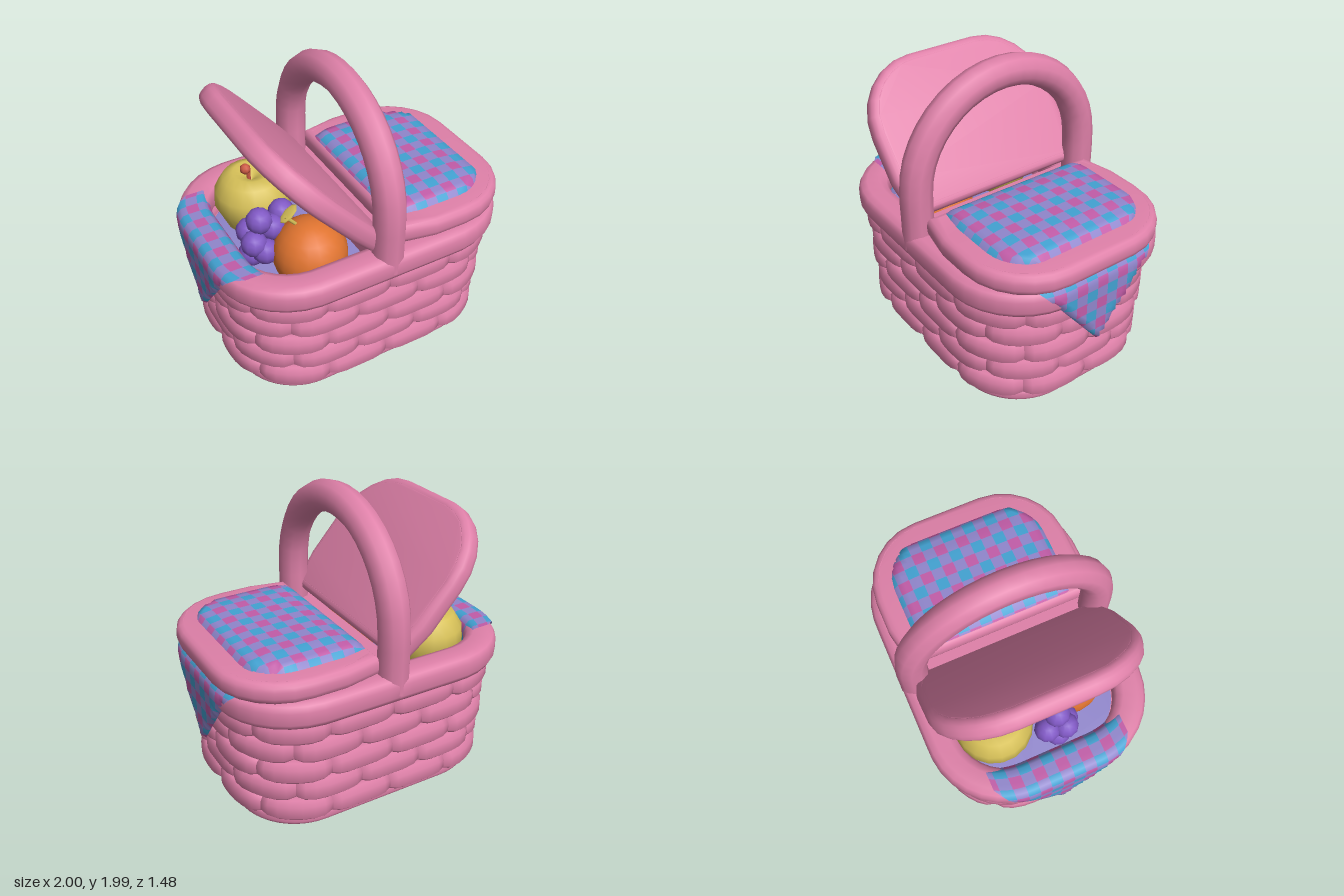
import * as THREE from 'three';
import { toCreasedNormals } from 'three/addons/utils/BufferGeometryUtils.js';

const mat = (name, color, side = THREE.FrontSide) => {
  const m = new THREE.MeshStandardMaterial({ color, side });
  m.name = name;
  return m;
};

export function createModel() {
  const model = new THREE.Group();
  model.name = 'picnicBasket';
  const pink = mat('wickerPink', 0xde80a8);
  const yellow = mat('appleYellow', 0xd6c058);
  const orange = mat('orangePeel', 0xe07430);
  const grape = mat('grapePurple', 0x8058c4);
  const red = mat('stemRed', 0xcc5a44);
  const cloth = [
    mat('clothBlue', 0x42a2d2, THREE.DoubleSide),
    mat('clothLilac', 0x9086cc, THREE.DoubleSide),
    mat('clothMagenta', 0xc25ca8, THREE.DoubleSide),
  ];

  const add = (name, geo, material, parent = model, x = 0, y = 0, z = 0) => {
    const m = new THREE.Mesh(geo, material);
    m.name = name;
    m.position.set(x, y, z);
    parent.add(m);
    return m;
  };

  // Rounded rectangle in plan (shape y becomes z), starting at the back middle
  const plan = (a, b, r) => {
    const s = new THREE.Shape();
    s.moveTo(0, -b);
    s.lineTo(a - r, -b);
    s.absarc(a - r, r - b, r, -Math.PI / 2, 0);
    s.lineTo(a, b - r);
    s.absarc(a - r, b - r, r, 0, Math.PI / 2);
    s.lineTo(r - a, b);
    s.absarc(r - a, b - r, r, Math.PI / 2, Math.PI);
    s.lineTo(-a, r - b);
    s.absarc(r - a, r - b, r, Math.PI, Math.PI * 1.5);
    s.lineTo(0, -b);
    return s;
  };

  // Horizontal slab with rounded edges
  const slab = (shape, y0, y1, bevel) => {
    const g = new THREE.ExtrudeGeometry(shape, {
      depth: y1 - y0 - 2 * bevel, bevelSize: bevel, bevelThickness: bevel,
      bevelOffset: -bevel, bevelSegments: 3, curveSegments: 6,
    });
    g.rotateX(Math.PI / 2);
    g.translate(0, y1 - bevel, 0);
    return toCreasedNormals(g, 0.7);
  };

  // Puffy rounded section swept along a plan outline; stations are [t, scale]
  const sweep = (path, stations, halfDepth, halfHeight, y, sides) => {
    const pos = [], idx = [], sq = (v) => Math.sign(v) * Math.abs(v) ** 0.65;
    stations.forEach(([t, k], i) => {
      const u = ((t % 1) + 1) % 1;
      const p = path.getPoint(u), d = path.getTangent(u);
      for (let j = 0; j < sides; j++) {
        const a = ((j + 0.5) / sides) * Math.PI * 2;
        const n = sq(Math.cos(a)) * halfDepth * k, h = sq(Math.sin(a)) * halfHeight * k;
        pos.push(p.x + d.y * n, y + h, p.y - d.x * n);
        if (i + 1 < stations.length) {
          const A = i * sides + j, B = i * sides + ((j + 1) % sides);
          idx.push(A, B, A + sides, B, B + sides, A + sides);
        }
      }
    });
    const g = new THREE.BufferGeometry();
    g.setAttribute('position', new THREE.Float32BufferAttribute(pos, 3));
    g.setIndex(idx);
    g.computeVertexNormals();
    return g;
  };

  // Base, feet and inner body
  add('base', slab(plan(0.85, 0.61, 0.41), 0.03, 0.12, 0.03), pink);
  for (const x of [-0.58, 0.58]) for (const z of [-0.3, 0.3])
    add('foot', new THREE.CylinderGeometry(0.145, 0.1, 0.045, 8), pink, model, x, 0.0225, z);
  add('innerBody', slab(plan(0.82, 0.57, 0.4), 0.08, 0.77, 0.01), pink);
  add('innerCloth', slab(plan(0.8, 0.55, 0.38), 0.77, 0.779, 0.002), cloth[1]);

  // Woven strands in five staggered rows
  const weave = new THREE.Group();
  weave.name = 'weave';
  model.add(weave);
  const profile = [[0, 0], [0, 0.66], [0.12, 0.92], [0.26, 1], [0.42, 1], [0.58, 1], [0.74, 1], [0.88, 0.92], [1, 0.66], [1, 0]];
  const count = 12;
  for (let row = 0; row < 5; row++) {
    const grow = row * 0.009 + (row % 2 ? 0.002 : 0.01);
    const path = plan(0.83 + grow, 0.6 + grow * 0.6, 0.43);
    for (let i = 0; i < count; i++) {
      const start = i + (row % 2 ? 0.5 : 0);
      const st = profile.map(([t, k]) => [(start + t) / count, k]);
      add('strand', sweep(path, st, 0.079, 0.078, 0.176 + row * 0.1465, 8), pink, weave);
    }
  }

  // Rim, with a crossbar under the handle where the lids hinge
  const ring = Array.from({ length: 65 }, (_, i) => [i / 64, 1]);
  add('rim', sweep(plan(0.885, 0.63, 0.415), ring, 0.105, 0.092, 0.91, 12), pink);
  add('crossbar', new THREE.BoxGeometry(0.19, 0.1, 1.2), pink, model, 0, 0.945, 0);

  // Arched handle
  const arch = [new THREE.Vector3(0, 0.88, 0.635), new THREE.Vector3(0, 1.06, 0.635)];
  for (let i = 0; i <= 12; i++) {
    const a = (i / 12) * Math.PI;
    arch.push(new THREE.Vector3(0, 1.25 + 0.635 * Math.sin(a), 0.635 * Math.cos(a)));
  }
  arch.push(new THREE.Vector3(0, 1.06, -0.635), new THREE.Vector3(0, 0.88, -0.635));
  add('handle', new THREE.TubeGeometry(new THREE.CatmullRomCurve3(arch), 28, 0.102, 10), pink, model, -0.005);

  // Lids: flat underneath, recessed on top, hinged at local x = 0
  const lidOutline = (s, length, inset) => {
    const w = 0.675 - inset, e = length - inset;
    s.moveTo(inset, -w + 0.05);
    s.lineTo(0.25, -w);
    s.lineTo(length - 0.45, -w);
    s.bezierCurveTo(length - 0.2, -w, e, -w + 0.2, e, -0.24);
    s.lineTo(e, 0.24);
    s.bezierCurveTo(e, w - 0.2, length - 0.2, w, length - 0.45, w);
    s.lineTo(0.25, w);
    s.lineTo(inset, w - 0.05);
    s.closePath();
    return s;
  };
  const makeLid = (name, x, y, angle, length) => {
    const lid = new THREE.Group();
    lid.name = name;
    lid.position.set(x, y, 0);
    lid.rotation.z = angle;
    const border = lidOutline(new THREE.Shape(), length, 0);
    border.holes.push(lidOutline(new THREE.Path(), length, 0.1));
    add('lidBorder', slab(border, -0.07, 0.07, 0.05), pink, lid);
    add('lidPanel', slab(lidOutline(new THREE.Shape(), length, 0.045), -0.071, 0.045, 0.01), pink, lid);
    model.add(lid);
    return lid;
  };
  const closedLid = makeLid('closedLid', 0.075, 1.055, 0, 0.92);
  makeLid('openLid', -0.05, 1.045, THREE.MathUtils.degToRad(131.5), 1.005);

  // Checked cloth: rows r0..r1, columns clamped to the half width of each row
  const checked = (r0, r1, wide, half, halfWidth, place) => {
    const step = half / 2, pos = [], tris = [[], [], []];
    const a = Math.floor(r0 / step), b = Math.ceil(r1 / step), n = Math.ceil(wide / step);
    const cols = 2 * n + 1, odd = (k) => Math.abs(Math.floor((k + 1) / 2)) % 2;
    for (let i = a; i <= b; i++) {
      const r = THREE.MathUtils.clamp(i * step, r0, r1), w = halfWidth(r);
      for (let j = -n; j <= n; j++) {
        pos.push(...place(r, THREE.MathUtils.clamp(j * step, -w, w), w));
        if (i === b || j === n) continue;
        const A = (i - a) * cols + j + n, C = A + cols;
        const tone = 2 - odd(i) - odd(j);
        tris[tone].push(A, A + 1, C, A + 1, C + 1, C);
      }
    }
    const g = new THREE.BufferGeometry();
    g.setAttribute('position', new THREE.Float32BufferAttribute(pos, 3));
    g.setIndex(tris.flat());
    let s = 0;
    tris.forEach((t, k) => { g.addGroup(s, t.length, k); s += t.length; });
    g.computeVertexNormals();
    return g;
  };

  // Padded cloth on the closed lid: steep edge, gently domed top
  const padWidth = (r) => {
    const far = Math.max(0, r - 0.48) / 0.3, near = Math.max(0, 0.2 - r) / 0.19;
    return 0.55 - 0.27 * (1 - Math.sqrt(Math.max(0, 1 - far * far))) - 0.04 * near;
  };
  const pad = checked(0.02, 0.78, 0.56, 0.0775, padWidth, (r, c, w) => {
    const edge = Math.max(0, Math.min(w - Math.abs(c), r - 0.02, 0.78 - r));
    return [r, 0.047 + 0.05 * Math.min(1, edge / 0.03) + 0.028 * Math.min(1, edge / 0.18), c];
  });
  add('lidCloth', pad, cloth, closedLid);

  // Cloth draped over each end of the rim, ending in a point; its edges turn inward
  const drapePath = new THREE.CurvePath();
  const bends = [[0.76, 0.78], [0.765, 0.95], [0.8, 1.006], [0.96, 1.008], [0.998, 0.965], [1, 0.48]]
    .map(([x, y]) => new THREE.Vector2(x, y));
  for (let i = 1; i < bends.length; i++) drapePath.add(new THREE.LineCurve(bends[i - 1], bends[i]));
  const len = drapePath.getLength();
  // Row coordinate counts down the cloth, with a dark check just below the rim
  const shift = 0.48;
  const drape = checked(-shift, len - shift, 0.48, 0.0775,
    (r) => Math.min(0.46, (len - shift - r) * 0.8),
    (r, c, w) => {
      const p = drapePath.getPoint(THREE.MathUtils.clamp((r + shift) / len, 0, 1));
      const d = Math.max(0, Math.abs(c) - 0.22);
      const hem = p.y < 0.9 && p.x > 0.9 ? 0.03 * (1 - Math.min(1, (w - Math.abs(c)) / 0.015)) : 0;
      return [p.x - (0.52 - Math.sqrt(0.2704 - d * d)) - hem, p.y, c];
    });
  for (const side of [0, Math.PI]) add('drapedCloth', drape, cloth).rotation.y = side;

  // Apple with a dimple and a knobbed stem
  const applePts = [[0, -0.22], [0.1, -0.22], [0.19, -0.15], [0.255, 0], [0.245, 0.1], [0.19, 0.19], [0.12, 0.22], [0.05, 0.19], [0, 0.15]]
    .map(([x, y]) => new THREE.Vector2(x, y));
  add('apple', new THREE.LatheGeometry(applePts, 18), yellow, model, -0.47, 0.95, -0.29);
  add('appleStem', new THREE.CylinderGeometry(0.014, 0.014, 0.1, 6), red, model, -0.49, 1.14, -0.29);
  add('stemKnob', new THREE.SphereGeometry(0.036, 8, 6), red, model, -0.51, 1.2, -0.29);

  // Orange with a leaf
  add('orange', new THREE.SphereGeometry(0.24, 18, 12), orange, model, -0.35, 0.865, 0.28);
  const leaf = add('orangeLeaf', new THREE.SphereGeometry(1, 8, 6), yellow, model, -0.46, 1.17, 0.22);
  leaf.scale.set(0.075, 0.01, 0.045);
  leaf.rotation.z = 0.7;
  const stalk = add('orangeStalk', new THREE.CylinderGeometry(0.012, 0.012, 0.12, 6), yellow, model, -0.45, 1.12, 0.23);
  stalk.rotation.z = 0.7;

  // Bunch of grapes
  const bunch = new THREE.Group();
  bunch.name = 'grapes';
  model.add(bunch);
  for (const [x, y, z] of [[-0.6, 1.08, 0.09], [-0.43, 1.06, 0.05], [-0.52, 1.01, 0.1], [-0.64, 0.96, 0.01],
    [-0.66, 0.95, 0.13], [-0.52, 0.94, 0.04], [-0.6, 0.89, 0.16], [-0.66, 0.84, 0.08]])
    add('grape', new THREE.SphereGeometry(0.085, 10, 8), grape, bunch, x, y, z);

  return model;
}
